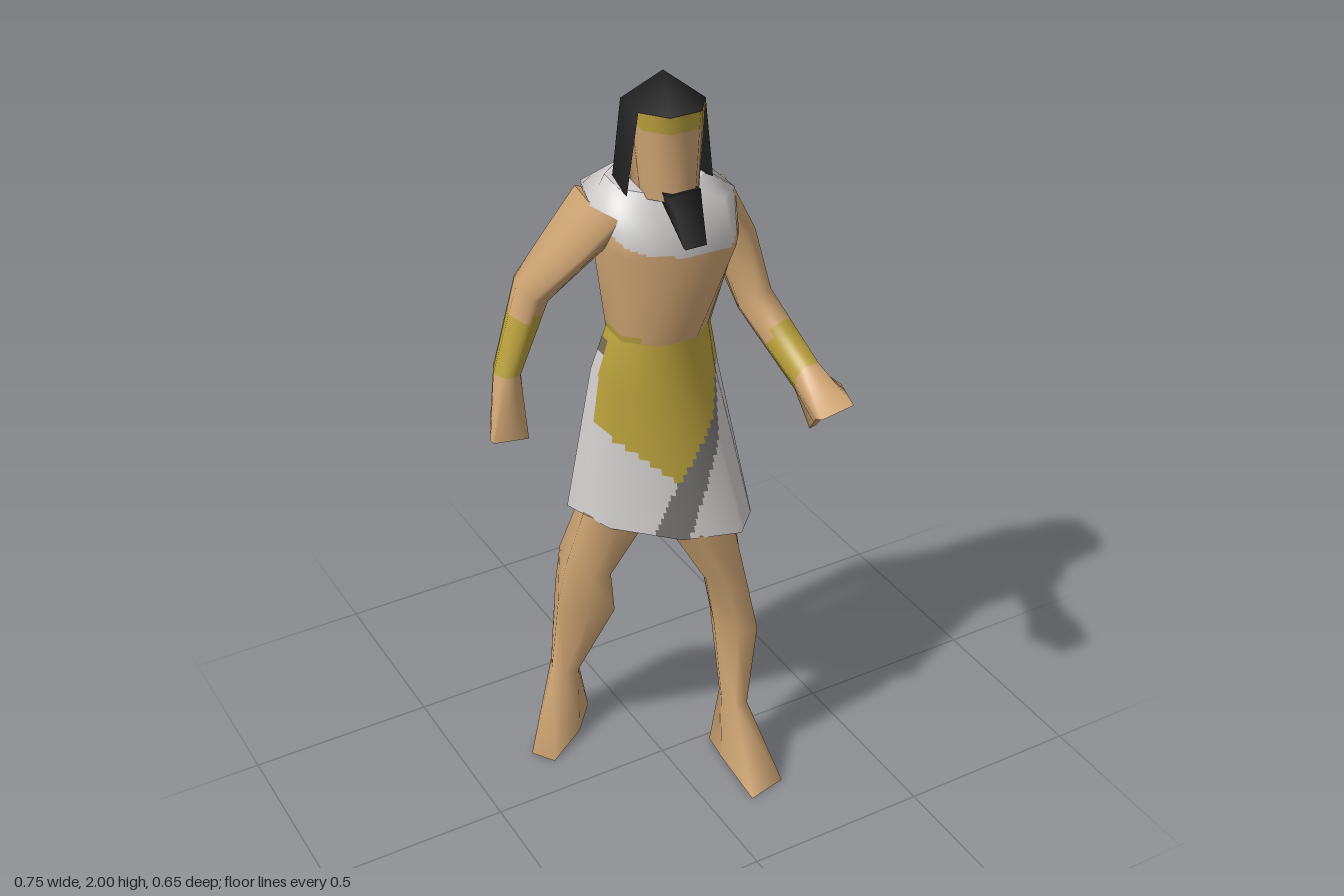
import * as THREE from 'three';
import { mergeVertices } from 'three/addons/utils/BufferGeometryUtils.js';

const mat = (name, color) => {
  const m = new THREE.MeshStandardMaterial({ color, side: THREE.DoubleSide });
  m.name = name;
  return m;
};

// Ring of n points around centre c, square to direction d, turned by rot
function ring(c, ru, rv, { d = [0, -1, 0], n = 6, phase = 0, rot = 0 } = {}) {
  const dir = new THREE.Vector3(...d).normalize();
  const u = new THREE.Vector3(1, 0, 0).addScaledVector(dir, -dir.x).normalize();
  const v = new THREE.Vector3().crossVectors(dir, u);
  return Array.from({ length: n }, (_, i) => {
    const a = phase + (i / n) * Math.PI * 2;
    const p = ru * Math.cos(a), q = rv * Math.sin(a);
    return new THREE.Vector3(...c)
      .addScaledVector(u, p * Math.cos(rot) - q * Math.sin(rot))
      .addScaledVector(v, p * Math.sin(rot) + q * Math.cos(rot));
  });
}

// Rings from explicit points, or from x,z pairs at one height
const free = pts => pts.map(p => new THREE.Vector3(...p));
const flat = (y, pts) => pts.map(([x, z]) => new THREE.Vector3(x, y, z));

// Closed skin through the rings, top to bottom; pick(p) gives a material index.
// Each panel is divided finely so that painted borders stay crisp.
function loft(name, rings, mats, pick = () => 0, sub = 1) {
  const n = rings[0].length, rows = rings.length, points = rings.flat();
  const coarse = new THREE.BufferGeometry().setFromPoints(points);
  const idx = [];
  for (let r = 0; r < rows - 1; r++) for (let i = 0; i < n; i++) {
    const a = r * n + i, b = r * n + (i + 1) % n;
    idx.push(a, b, a + n, b, b + n, a + n);
  }
  coarse.setIndex(idx);
  coarse.computeVertexNormals();
  const normals = points.map((_, k) =>
    new THREE.Vector3().fromBufferAttribute(coarse.attributes.normal, k));

  const buckets = mats.map(() => ({ p: [], n: [] }));
  const tri = (ps, ns, m) => ps.forEach((p, k) => {
    buckets[m].p.push(p.x, p.y, p.z);
    buckets[m].n.push(ns[k].x, ns[k].y, ns[k].z);
  });
  const mix = (arr, r, i, s, t) => {
    const j = (i + 1) % n;
    const top = arr[r * n + i].clone().lerp(arr[r * n + j], s);
    return top.lerp(arr[(r + 1) * n + i].clone().lerp(arr[(r + 1) * n + j], s), t);
  };
  for (let r = 0; r < rows - 1; r++) for (let i = 0; i < n; i++)
    for (let a = 0; a < sub; a++) for (let b = 0; b < sub; b++) {
      const st = [[a, b], [a + 1, b], [a, b + 1], [a + 1, b + 1]].map(q => q.map(w => w / sub));
      const P = st.map(([s, t]) => mix(points, r, i, s, t));
      const N = st.map(([s, t]) => mix(normals, r, i, s, t).normalize());
      const m = pick(P[1].clone().add(P[2]).multiplyScalar(0.5));
      tri([P[0], P[1], P[2]], [N[0], N[1], N[2]], m);
      tri([P[1], P[3], P[2]], [N[1], N[3], N[2]], m);
    }
  // End caps
  [rings[0], rings[rows - 1]].forEach((R, end) => {
    const c = R.reduce((s, p) => s.add(p), new THREE.Vector3()).divideScalar(n);
    const m = pick(c);
    R.forEach((p, i) => {
      const q = R[(i + 1) % n];
      const t = end ? [c, p, q] : [c, q, p];
      const nn = t[1].clone().sub(c).cross(t[2].clone().sub(c)).normalize();
      tri(t, [nn, nn, nn], m);
    });
  });
  const geo = new THREE.BufferGeometry();
  const all = key => buckets.flatMap(b => b[key]);
  geo.setAttribute('position', new THREE.Float32BufferAttribute(all('p'), 3));
  geo.setAttribute('normal', new THREE.Float32BufferAttribute(all('n'), 3));
  let start = 0;
  buckets.forEach((b, k) => {
    if (b.p.length) geo.addGroup(start, b.p.length / 3, k);
    start += b.p.length / 3;
  });
  const mesh = new THREE.Mesh(geo, mats);
  mesh.name = name;
  return mesh;
}

export function createModel() {
  const g = new THREE.Group();
  g.name = 'standingFigure';
  const skin = mat('skin', 0xcda473), gold = mat('gold', 0xb8a03c);
  const white = mat('whiteLinen', 0xd0cccc), grey = mat('greyCloth', 0x767472);
  const darkBelt = mat('darkBelt', 0x756b50), black = mat('blackHair', 0x202020);
  const body = (c, rx, rz, rot) => ring(c, rx, rz, { n: 8, phase: Math.PI / 8, rot });

  // Chest, broad across the shoulders, with linen collar and belt top
  const waist = body([0.025, 1.33, -0.065], 0.132, 0.118, 0.05);
  g.add(loft('torso', [
    body([0.035, 1.718, -0.1], 0.12, 0.115, 0.1),
    flat(1.68, [[0.205, -0.01], [0.15, 0.03], [-0.03, 0.03], [-0.115, 0.01],
      [-0.14, -0.1], [-0.1, -0.225], [0.05, -0.205], [0.21, -0.145]]),
    flat(1.58, [[0.195, 0.03], [0.15, 0.09], [0.01, 0.085], [-0.11, 0.03],
      [-0.135, -0.1], [-0.09, -0.235], [0.06, -0.22], [0.2, -0.155]]),
    waist,
  ], [skin, white, gold], p => {
    const collar = 1.6 - 0.22 * p.z + 0.3 * Math.max(0, Math.abs(p.x - 0.035) - 0.1);
    return p.y > collar ? 1 : p.y < 1.34 - 0.12 * p.z ? 2 : 0;
  }, 14));

  // Kilt, flattened along the diagonal stride, with gold apron, grey fold and belt
  const apron = x => (x < 0 ? 0.95 - 0.85 * x : 0.95 + 1.6 * x);
  const stride = -Math.PI / 4;
  g.add(loft('kilt', [
    [waist[7], ...waist.slice(0, 7)],
    body([0.025, 1.2, -0.085], 0.165, 0.16, stride),
    body([0.018, 0.785, -0.05], 0.132, 0.253, stride),
  ], [white, gold, grey, darkBelt], p => {
    if (p.z > -0.04 + 0.5 * Math.min(0, p.x) && p.y > apron(p.x)) return 1;
    if (p.y > 1.3) return 1;
    if (p.y > 1.262) return 3;
    const fold = p.y - 0.79;
    return p.z > -0.04 && p.x > -0.05 + 0.25 * fold && p.x < 0.02 + 0.34 * fold ? 2 : 0;
  }, 22));

  // Arms with gold bracers
  g.add(loft('leftArm', [
    ring([0.17, 1.665, -0.07], 0.045, 0.085, { d: [0.4, -1, 0], rot: -0.15 }),
    ring([0.222, 1.55, -0.07], 0.045, 0.08, { rot: -0.4 }),
    ring([0.282, 1.345, -0.03], 0.05, 0.062, { d: [0.2, -0.7, 0.6] }),
    ring([0.33, 1.195, 0.145], 0.044, 0.052, { d: [0.1, -0.4, 0.9] }),
    free([[0.37, 1.21, 0.24], [0.35, 1.2, 0.325], [0.256, 1.19, 0.33],
      [0.257, 1.175, 0.3], [0.302, 1.085, 0.21], [0.322, 1.09, 0.21]]),
  ], [skin, gold], p => (p.z > 0.07 && p.z < 0.16 && p.y < 1.32 ? 1 : 0), 10));
  g.add(loft('rightArm', [
    ring([-0.097, 1.665, -0.11], 0.045, 0.125, { d: [-0.4, -1, 0] }),
    ring([-0.165, 1.55, -0.165], 0.045, 0.105),
    ring([-0.22, 1.395, -0.27], 0.046, 0.06, { d: [-0.3, -0.9, -0.2] }),
    ring([-0.298, 1.185, -0.265], 0.038, 0.045),
    free([[-0.26, 1.01, -0.25], [-0.275, 1.01, -0.2], [-0.372, 1.025, -0.2],
      [-0.378, 1.03, -0.21], [-0.34, 1.03, -0.29], [-0.28, 1.03, -0.29]]),
  ], [skin, gold], p => (p.y > 1.185 && p.y < 1.335 ? 1 : 0), 10));

  // Legs and feet
  g.add(loft('leftLeg', [
    ring([0.093, 0.79, 0.03], 0.1, 0.105),
    ring([0.15, 0.6, 0.065], 0.055, 0.085),
    ring([0.185, 0.44, 0.06], 0.06, 0.085),
    ring([0.168, 0.2, 0.095], 0.036, 0.05),
    flat(0, [[0.205, 0.1], [0.225, 0.265], [0.115, 0.29], [0.13, 0.1], [0.14, 0.02], [0.2, 0.02]]),
  ], [skin]));
  g.add(loft('rightLeg', [
    ring([-0.074, 0.79, -0.117], 0.095, 0.11),
    ring([-0.14, 0.6, -0.17], 0.058, 0.105),
    ring([-0.118, 0.44, -0.22], 0.082, 0.11),
    ring([-0.168, 0.2, -0.255], 0.04, 0.05),
    flat(0, [[-0.085, -0.28], [-0.16, -0.19], [-0.28, -0.11], [-0.32, -0.17], [-0.16, -0.31], [-0.11, -0.31]]),
  ], [skin]));

  // Head with gold brow band
  g.add(loft('head', [
    flat(1.93, [[0.115, 0], [0.07, 0.055], [-0.01, 0.055], [-0.055, 0], [-0.04, -0.1], [0.1, -0.1]]),
    flat(1.71, [[0.1, 0], [0.06, 0.05], [0, 0.05], [-0.04, 0], [-0.03, -0.1], [0.09, -0.1]]),
  ], [skin, gold], p => (p.y > 1.885 ? 1 : 0), 15));

  // Beard
  g.add(loft('beard', [
    flat(1.735, [[0.07, 0.058], [-0.018, 0.058], [-0.018, 0], [0.07, 0]]),
    free([[0.062, 1.7, 0.08], [-0.01, 1.7, 0.08], [-0.01, 1.7, 0.02], [0.062, 1.7, 0.02]]),
    flat(1.62, [[0.053, 0.117], [-0.004, 0.117], [-0.004, 0.108], [0.053, 0.108]]),
  ], [black]));

  // Wig: pointed crown and a hanging curtain open at the face
  const top = [[-0.06, 1.93, -0.005], [-0.055, 1.93, -0.1], [0.035, 1.93, -0.15], [0.115, 1.93, -0.1], [0.118, 1.93, -0.005]];
  const hem = [[-0.085, 1.72, -0.018], [-0.057, 1.705, -0.143], [0.044, 1.675, -0.197], [0.133, 1.705, -0.127], [0.145, 1.72, -0.012]];
  const brow = [[0.072, 1.93, 0.058], [-0.012, 1.93, 0.058]];
  const apex = [0.03, 2, -0.05], verts = [], crown = [...top, ...brow];
  crown.forEach((p, i) => verts.push(...apex, ...crown[(i + 1) % crown.length], ...p));
  for (let i = 0; i < 4; i++)
    verts.push(...top[i], ...top[i + 1], ...hem[i], ...top[i + 1], ...hem[i + 1], ...hem[i]);
  const wigFaces = new THREE.BufferGeometry();
  wigFaces.setAttribute('position', new THREE.Float32BufferAttribute(verts, 3));
  const wig = new THREE.Mesh(mergeVertices(wigFaces), black);
  wig.geometry.computeVertexNormals();
  wig.name = 'wig';
  g.add(wig);
  return g;
}
